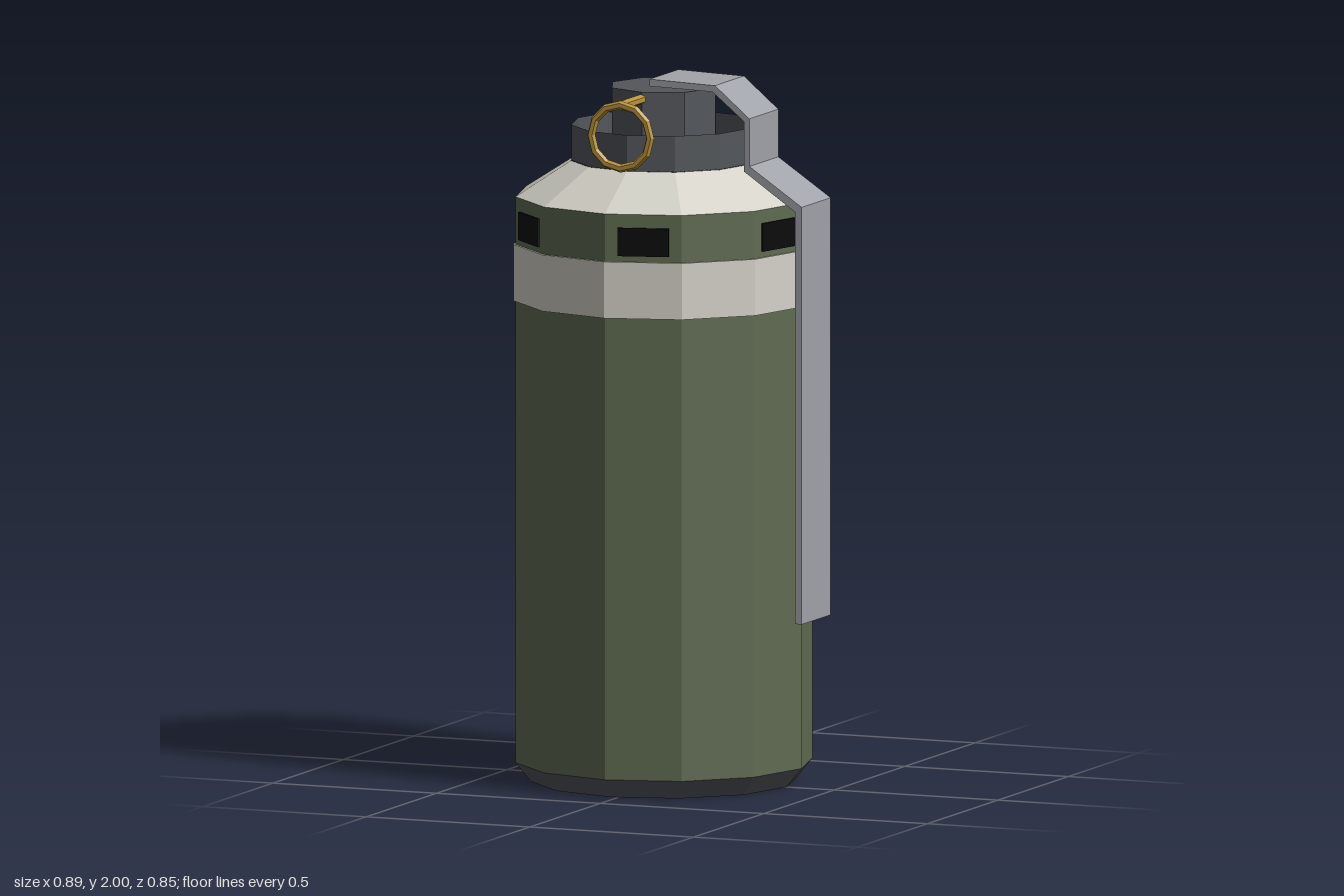
import * as THREE from 'three';

const AXIS_X = -0.02; // the can sits slightly off centre to make room for the lever

function material(name, color, extra = {}) {
  return Object.assign(new THREE.MeshStandardMaterial({ color, flatShading: true, ...extra }), { name });
}

export function createModel() {
  const group = new THREE.Group();
  group.name = 'canister';

  const green = material('olive green', 0x5f6b51);
  const cream = material('pale cream', 0xd4d2c8);
  const dark = material('dark metal', 0x53565b, { side: THREE.DoubleSide });
  const steel = material('lever steel', 0xa0a3a9);
  const brass = material('brass', 0xb9933a);
  const black = material('vent black', 0x0b0b0b);

  function add(name, geometry, mat, x = 0, y = 0, z = 0) {
    const mesh = new THREE.Mesh(geometry, mat);
    mesh.name = name;
    mesh.position.set(x, y, z);
    group.add(mesh);
    return mesh;
  }

  // Upright faceted tube between two heights
  function drum(name, rBottom, rTop, y0, y1, mat, sides = 12, open = false) {
    const geo = new THREE.CylinderGeometry(rTop, rBottom, y1 - y0, sides, 1, open);
    return add(name, geo, mat, AXIS_X, (y0 + y1) / 2);
  }

  // Can
  drum('base', 0.375, 0.42, 0, 0.055, dark);
  drum('body', 0.42, 0.42, 0.055, 1.66, green);
  drum('band', 0.426, 0.426, 1.365, 1.525, cream);
  drum('shoulder', 0.42, 0.263, 1.66, 1.76, cream, 12, true);
  const lid = add('lid', new THREE.CircleGeometry(0.263, 12), green, AXIS_X, 1.762);
  lid.rotation.x = -Math.PI / 2;
  drum('collar', 0.262, 0.262, 1.76, 1.862, dark, 12, true);
  drum('fuseCap', 0.157, 0.157, 1.762, 1.97, dark, 8);

  // Vents on every second face
  const apothem = 0.42 * Math.cos(Math.PI / 12);
  for (let i = 0; i < 6; i++) {
    const a = Math.PI / 12 + (i * Math.PI) / 3;
    const r = apothem + 0.002;
    const vent = add('vent', new THREE.BoxGeometry(0.145, 0.08, 0.008), black,
      AXIS_X + Math.sin(a) * r, 1.582, Math.cos(a) * r);
    vent.rotation.y = a;
  }

  // Bent strip lever
  const profile = [
    [-0.02, 2.0], [0.18, 1.993], [0.285, 1.905], [0.285, 1.77], [0.445, 1.663], [0.445, 0.48],
    [0.425, 0.48], [0.425, 1.648], [0.268, 1.755], [0.268, 1.897], [0.172, 1.975], [-0.02, 1.98],
  ];
  const shape = new THREE.Shape(profile.map(([x, y]) => new THREE.Vector2(x, y)));
  add('lever', new THREE.ExtrudeGeometry(shape, { depth: 0.206, bevelEnabled: false }), steel, 0, 0, -0.103);

  // Safety pin and pull ring
  const pin = add('pin', new THREE.CylinderGeometry(0.014, 0.014, 0.51, 6), brass, AXIS_X - 0.003, 1.95, 0.045);
  pin.rotation.x = Math.PI / 2;
  add('pullRing', new THREE.TorusGeometry(0.09, 0.012, 6, 12), brass, AXIS_X - 0.003, 1.863, 0.3);

  return group;
}
